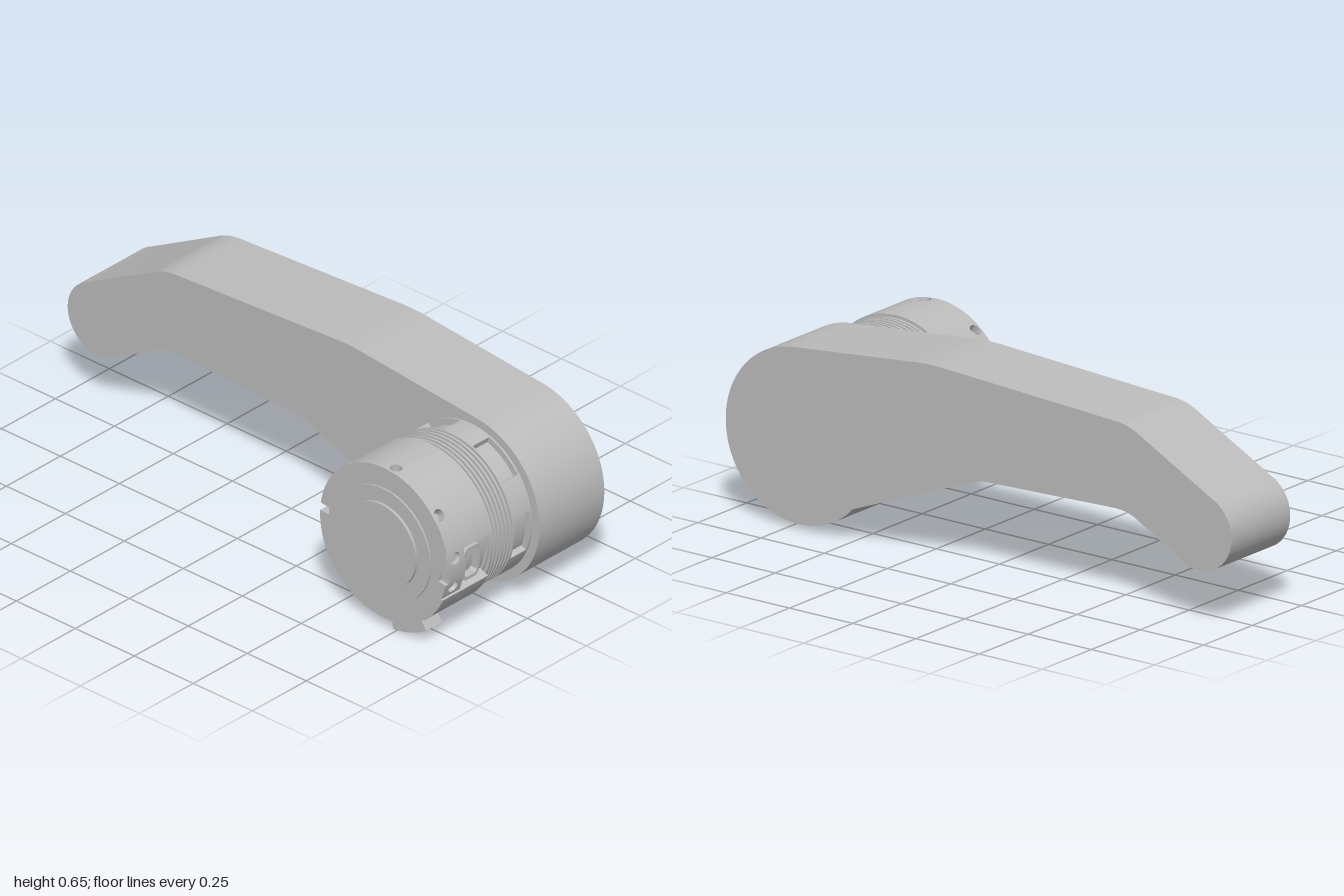
import * as THREE from 'three';
import { toCreasedNormals } from 'three/addons/utils/BufferGeometryUtils.js';

const RAD = Math.PI / 180;
const AX = 0.707, AY = 0.31; // coupling axis, parallel to z

const steel = new THREE.MeshStandardMaterial({ color: 0xbcbcbc });
steel.name = 'grey metal';

function add(parent, name, geometry) {
  const mesh = new THREE.Mesh(geometry, steel);
  mesh.name = name;
  parent.add(mesh);
  return mesh;
}

// Ring segment about the z axis, angles in degrees
function sector(r0, r1, a0, a1, z0, z1) {
  const n = Math.max(2, Math.ceil((a1 - a0) / 3));
  const pts = [];
  for (let i = 0; i <= n; i++) {
    const a = (a0 + (a1 - a0) * i / n) * RAD;
    pts.push(new THREE.Vector2(r1 * Math.cos(a), r1 * Math.sin(a)));
  }
  for (let i = n; i >= 0; i--) {
    const a = (a0 + (a1 - a0) * i / n) * RAD;
    pts.push(new THREE.Vector2(r0 * Math.cos(a), r0 * Math.sin(a)));
  }
  const g = new THREE.ExtrudeGeometry(new THREE.Shape(pts), { depth: z1 - z0, bevelEnabled: false });
  g.translate(0, 0, z0);
  return toCreasedNormals(g, 0.4);
}

// Ten degree wide wall panel with a radial screw hole, bent to the cylinder
function holePanel(r0, r1, angle, z0, z1, holeZ, holeR) {
  const w = 5 * RAD * r1;
  const s = new THREE.Shape();
  s.moveTo(-w, z0);
  s.lineTo(w, z0);
  s.lineTo(w, z1);
  s.lineTo(-w, z1);
  s.closePath();
  const hole = new THREE.Path();
  hole.absarc(0, holeZ, holeR, 0, Math.PI * 2, true);
  s.holes.push(hole);
  const g = new THREE.ExtrudeGeometry(s, { depth: r1 - r0, bevelEnabled: false, curveSegments: 10 });
  const p = g.attributes.position;
  for (let i = 0; i < p.count; i++) {
    const a = angle * RAD + p.getX(i) / r1, r = r0 + p.getZ(i);
    p.setXYZ(i, r * Math.cos(a), r * Math.sin(a), p.getY(i));
  }
  return toCreasedNormals(g, 0.6);
}

// Turned part along z from [radius, z] points
function turned(profile) {
  const g = new THREE.LatheGeometry(profile.map(([r, z]) => new THREE.Vector2(r, z)), 96);
  g.rotateX(Math.PI / 2);
  return toCreasedNormals(g, 0.6);
}

function makeArm() {
  const s = new THREE.Shape();
  s.absarc(0.71, 0.31, 0.29, -137 * RAD, 84 * RAD, false);
  s.lineTo(0.27, 0.644);
  s.quadraticCurveTo(0.2, 0.653, 0.13, 0.648);
  s.lineTo(-0.54, 0.612);
  s.quadraticCurveTo(-0.59, 0.61, -0.63, 0.588);
  s.lineTo(-0.927, 0.43);
  s.absarc(-0.872, 0.315, 0.128, 116 * RAD, 298 * RAD, false);
  s.lineTo(-0.625, 0.305);
  s.quadraticCurveTo(-0.585, 0.327, -0.53, 0.325);
  s.lineTo(-0.03, 0.308);
  s.quadraticCurveTo(0, 0.307, 0.03, 0.295);
  s.closePath();
  const g = new THREE.ExtrudeGeometry(s, { depth: 0.3, bevelEnabled: false, curveSegments: 40 });
  g.translate(0, 0, -0.357);
  return toCreasedNormals(g, 0.25);
}

export function createModel() {
  const model = new THREE.Group();
  model.name = 'crankHandle';
  add(model, 'arm', makeArm());

  const coupling = new THREE.Group();
  coupling.name = 'coupling';
  coupling.position.set(AX, AY, 0);
  model.add(coupling);

  // Neck with the ribbed bellows
  const neck = [[0.262, -0.057], [0.262, -0.05], [0.24, -0.05], [0.24, 0.025], [0.262, 0.025], [0.262, 0.032]];
  for (let i = 0; i < 5; i++) {
    const z = 0.041 + i * 0.0168;
    neck.push([0.24, z - 0.009], [0.24, z], [0.262, z], [0.262, z + 0.0078]);
  }
  neck.push([0.24, 0.1162], [0.24, 0.123], [0.262, 0.123], [0.262, 0.134]);
  add(coupling, 'bellowsNeck', turned(neck));

  // Pillars between the six neck windows
  for (let i = 0; i < 6; i++) {
    add(coupling, 'neckPillar', sector(0.235, 0.262, 11 + i * 60, 38 + i * 60, -0.051, 0.026));
  }

  // Head core and stepped front discs
  add(coupling, 'headCore', turned([
    [0, 0.133], [0.235, 0.133], [0.235, 0.342], [0.2, 0.342], [0.2, 0.348],
    [0.147, 0.348], [0.147, 0.358], [0, 0.358],
  ]));

  // Head shell: screw holes every 45 degrees, solid wall between them
  const R0 = 0.233, R1 = 0.272, Z0 = 0.133, Z1 = 0.342;
  let from = 11.6;
  for (let i = 0; i < 7; i++) {
    const a = 39.5 + i * 45;
    add(coupling, 'headWall', sector(R0, R1, from, a - 5, Z0, Z1));
    if (i === 3) {
      // Slotted segment behind the side pin
      add(coupling, 'slotSide', sector(R0, R1, a - 5, a - 3, Z0, Z1));
      add(coupling, 'slotSide', sector(R0, R1, a + 3, a + 5, Z0, Z1));
      add(coupling, 'slotFloor', sector(R0, R1, a - 3, a + 3, Z0, 0.25));
    } else {
      add(coupling, 'screwHole', holePanel(R0, R1, a, Z0, Z1, 0.316, 0.02));
      const screw = add(coupling, 'setScrew', new THREE.CylinderGeometry(0.012, 0.012, 0.024, 6));
      screw.position.set(0.241 * Math.cos(a * RAD), 0.241 * Math.sin(a * RAD), 0.316);
      screw.rotation.z = (a - 90) * RAD;
    }
    from = a + 5;
  }
  add(coupling, 'headWall', sector(R0, R1, from, 336, Z0, Z1));

  // Side pocket: two clamp screws in front, octagonal socket behind
  const RP = 0.265;
  add(coupling, 'pocketWall', sector(R0, RP, -24, -21.6, 0.258, Z1));
  add(coupling, 'pocketBridge', sector(R0, RP, -11.6, 1.6, 0.258, 0.328));
  for (const a of [-16.6, 6.6]) {
    add(coupling, 'clampHole', holePanel(R0, RP, a, 0.258, Z1, 0.3, 0.021));
    const screw = add(coupling, 'clampScrew', new THREE.CylinderGeometry(0.014, 0.014, 0.024, 12));
    screw.position.set(0.243 * Math.cos(a * RAD), 0.243 * Math.sin(a * RAD), 0.3);
    screw.rotation.z = (a - 90) * RAD;
  }
  const socketShape = new THREE.Shape();
  const octagon = (path, w, h, c) => {
    path.moveTo(-w + c, -h);
    for (const [x, y] of [[w - c, -h], [w, -h + c], [w, h - c], [w - c, h], [-w + c, h], [-w, h - c], [-w, -h + c]]) {
      path.lineTo(x, y);
    }
    path.closePath();
  };
  octagon(socketShape, 0.06, 0.038, 0.014);
  const opening = new THREE.Path();
  octagon(opening, 0.049, 0.028, 0.01);
  socketShape.holes.push(opening);
  const socketGeo = new THREE.ExtrudeGeometry(socketShape, { depth: 0.03, bevelEnabled: false });
  // Local x to tangent, y to the axis, depth to the radius
  socketGeo.applyMatrix4(new THREE.Matrix4().makeBasis(
    new THREE.Vector3(0, 1, 0), new THREE.Vector3(0, 0, 1), new THREE.Vector3(1, 0, 0)));
  socketGeo.translate(0.228, 0, 0.218);
  add(coupling, 'octagonSocket', socketGeo).rotation.z = -4.5 * RAD;

  // Stop tab under the head
  add(coupling, 'stopTab', sector(0.25, 0.307, -85, -57, 0.257, 0.331));

  // Side pin with its collar
  const pinGroup = new THREE.Group();
  pinGroup.name = 'sidePin';
  pinGroup.rotation.z = 174 * RAD;
  coupling.add(pinGroup);
  const pin = add(pinGroup, 'pin', new THREE.CylinderGeometry(0.011, 0.011, 0.11, 20));
  pin.position.set(0.288, 0, 0.207);
  pin.rotation.z = -Math.PI / 2;
  const collar = add(pinGroup, 'pinCollar', new THREE.CylinderGeometry(0.017, 0.02, 0.03, 20));
  collar.position.set(0.274, 0, 0.207);
  collar.rotation.z = -Math.PI / 2;

  return model;
}
